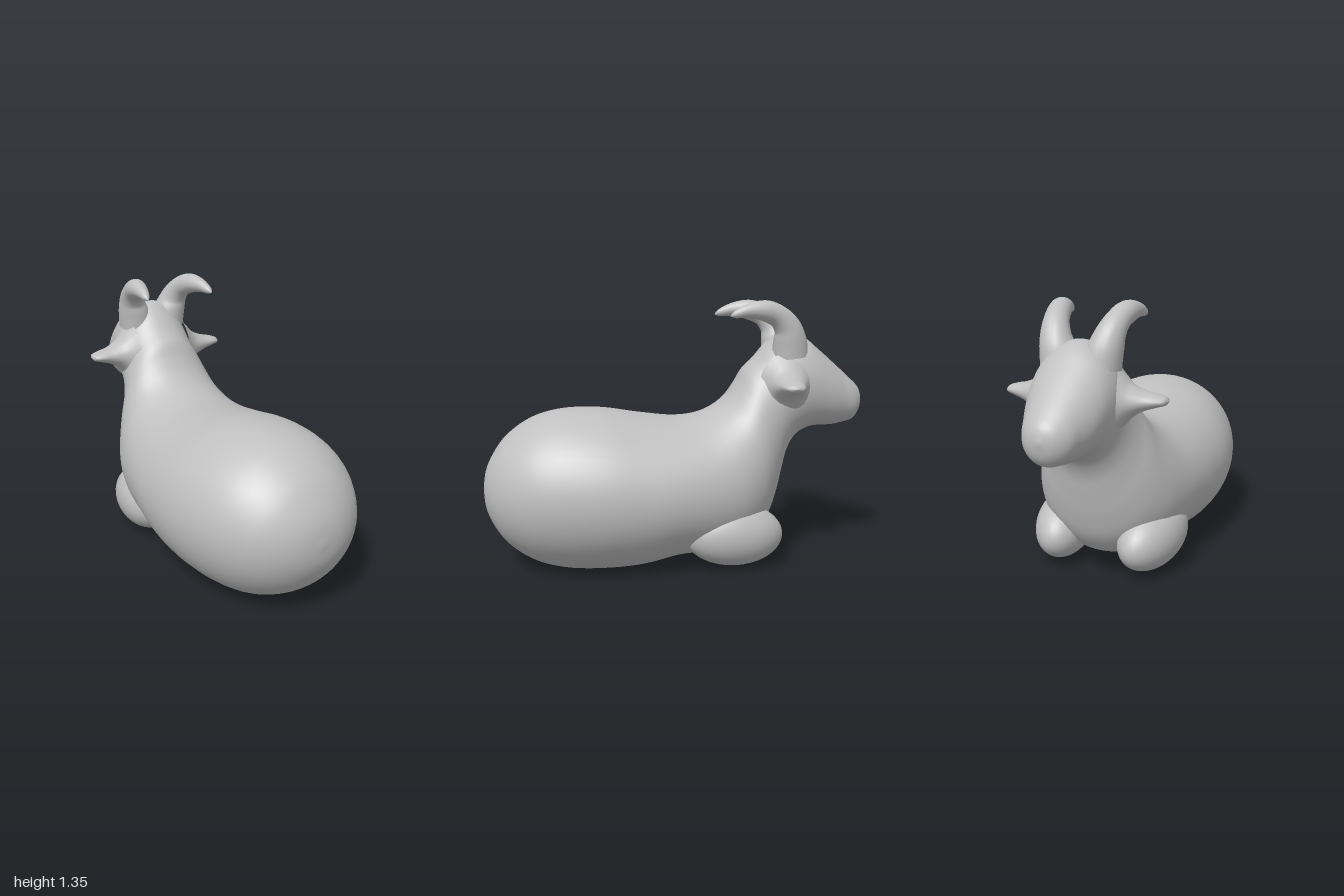
import * as THREE from 'three';
import { mergeVertices } from 'three/addons/utils/BufferGeometryUtils.js';

const V = (x, y, z) => new THREE.Vector3(x, y, z);

// Smooth skin over elliptical rings; ringAt(u) gives centre c and radius vectors a, b.
function loft(steps, sides, ringAt) {
  const pos = [], index = [];
  for (let i = 0; i <= steps; i++) {
    const { c, a, b } = ringAt(i / steps);
    for (let j = 0; j < sides; j++) {
      const t = (j / sides) * Math.PI * 2;
      const p = c.clone().addScaledVector(a, Math.cos(t)).addScaledVector(b, Math.sin(t));
      pos.push(p.x, Math.max(0, p.y), p.z); // flat resting underside
      if (i < steps) {
        const k = i * sides + j, n = i * sides + ((j + 1) % sides);
        index.push(k, k + sides, n, n, k + sides, n + sides);
      }
    }
  }
  let g = new THREE.BufferGeometry();
  g.setAttribute('position', new THREE.Float32BufferAttribute(pos, 3));
  g.setIndex(index);
  g = mergeVertices(g, 1e-5);
  g.computeVertexNormals();
  return g;
}

// Body, neck and head: [topZ, topY, bottomZ, bottomY, halfWidth]
const BODY = [
  [1, 0.4, 1, 0.4, 0],
  [0.985, 0.5, 0.985, 0.3, 0.11],
  [0.95, 0.58, 0.95, 0.22, 0.2],
  [0.88, 0.675, 0.88, 0.125, 0.295],
  [0.75, 0.765, 0.75, 0.035, 0.385],
  [0.6, 0.806, 0.6, -0.01, 0.435],
  [0.4, 0.808, 0.4, -0.024, 0.462],
  [0.2, 0.778, 0.2, -0.012, 0.455],
  [0, 0.757, 0.02, 0.025, 0.43],
  [-0.12, 0.773, -0.2, 0.04, 0.395],
  [-0.2, 0.81, -0.36, 0.09, 0.36],
  [-0.26, 0.86, -0.46, 0.19, 0.32],
  [-0.31, 0.93, -0.515, 0.32, 0.28],
  [-0.35, 1.0, -0.55, 0.45, 0.242],
  [-0.41, 1.06, -0.58, 0.56, 0.218],
  [-0.47, 1.13, -0.63, 0.64, 0.207],
  [-0.55, 1.19, -0.7, 0.68, 0.202],
  [-0.65, 1.175, -0.77, 0.69, 0.19],
  [-0.75, 1.1, -0.83, 0.69, 0.17],
  [-0.85, 1.015, -0.89, 0.7, 0.138],
  [-0.93, 0.945, -0.945, 0.715, 0.108],
  [-0.98, 0.895, -0.98, 0.755, 0.065],
  [-1, 0.83, -1, 0.83, 0],
];

function bodyGeometry() {
  const tops = new THREE.CatmullRomCurve3(BODY.map((s) => V(s[4], s[1], s[0])));
  const bottoms = new THREE.CatmullRomCurve3(BODY.map((s) => V(0, s[3], s[2])));
  return loft(110, 56, (u) => {
    const top = tops.getPoint(u), bottom = bottoms.getPoint(u);
    const w = Math.max(0, top.x);
    top.x = 0;
    return {
      c: top.clone().add(bottom).multiplyScalar(0.5),
      a: V(w, 0, 0),
      b: top.sub(bottom).multiplyScalar(0.5),
    };
  });
}

// Horn curving up and back: [x, y, z, radius]
const HORN = [
  [0.095, 1.06, -0.575, 0.095],
  [0.112, 1.15, -0.565, 0.086],
  [0.13, 1.215, -0.545, 0.07],
  [0.147, 1.27, -0.495, 0.058],
  [0.163, 1.3, -0.42, 0.053],
  [0.178, 1.3, -0.33, 0.036],
  [0.188, 1.282, -0.26, 0.018],
  [0.19, 1.273, -0.235, 0],
];

function hornGeometry(side) {
  const path = new THREE.CatmullRomCurve3(HORN.map((s) => V(side * s[0], s[1], s[2])));
  const size = new THREE.CatmullRomCurve3(HORN.map((s, i) => V(s[3], i * 0.05, 0)));
  return loft(36, 20, (u) => {
    const r = Math.max(0, size.getPoint(u).x), t = path.getTangent(u);
    return { c: path.getPoint(u), a: V(r, 0, 0), b: V(0, -t.z, t.y).setLength(r) };
  });
}

// Ear flaring out of the side of the head: [x, y, z, radiusY, radiusZ]
const EAR = [
  [0.15, 0.92, -0.55, 0.17, 0.15],
  [0.19, 0.92, -0.545, 0.125, 0.115],
  [0.23, 0.923, -0.54, 0.078, 0.092],
  [0.29, 0.927, -0.532, 0.045, 0.07],
  [0.35, 0.93, -0.525, 0.028, 0.056],
  [0.385, 0.93, -0.522, 0.017, 0.04],
  [0.398, 0.93, -0.52, 0, 0],
];

function earGeometry(side) {
  const path = new THREE.CatmullRomCurve3(EAR.map((s) => V(side * s[0], s[1], s[2])));
  const size = new THREE.CatmullRomCurve3(EAR.map((s) => V(s[0], s[3], s[4])));
  return loft(30, 24, (u) => {
    const r = size.getPoint(u);
    return {
      c: path.getPoint(u),
      a: V(0, 0, side * Math.max(0, r.z)),
      b: V(0, Math.max(0, r.y), 0),
    };
  });
}

export function createModel() {
  const group = new THREE.Group();
  const grey = new THREE.MeshStandardMaterial({ color: 0xc0c0c0 });
  grey.name = 'matte grey';

  const add = (name, geometry) => {
    const mesh = new THREE.Mesh(geometry, grey);
    mesh.name = name;
    group.add(mesh);
    return mesh;
  };

  add('bodyNeckAndHead', bodyGeometry());

  for (const side of [1, -1]) {
    const label = side > 0 ? 'left' : 'right';
    add(label + 'Horn', hornGeometry(side));
    add(label + 'Ear', earGeometry(side));

    // Folded front leg tucked against the chest
    const leg = add(label + 'FrontLeg', new THREE.SphereGeometry(1, 36, 24));
    leg.scale.set(0.145, 0.16, 0.265);
    leg.position.set(side * 0.24, 0.175, -0.255);
    leg.rotation.set(-0.08, side * 0.16, 0);
  }
  return group;
}
